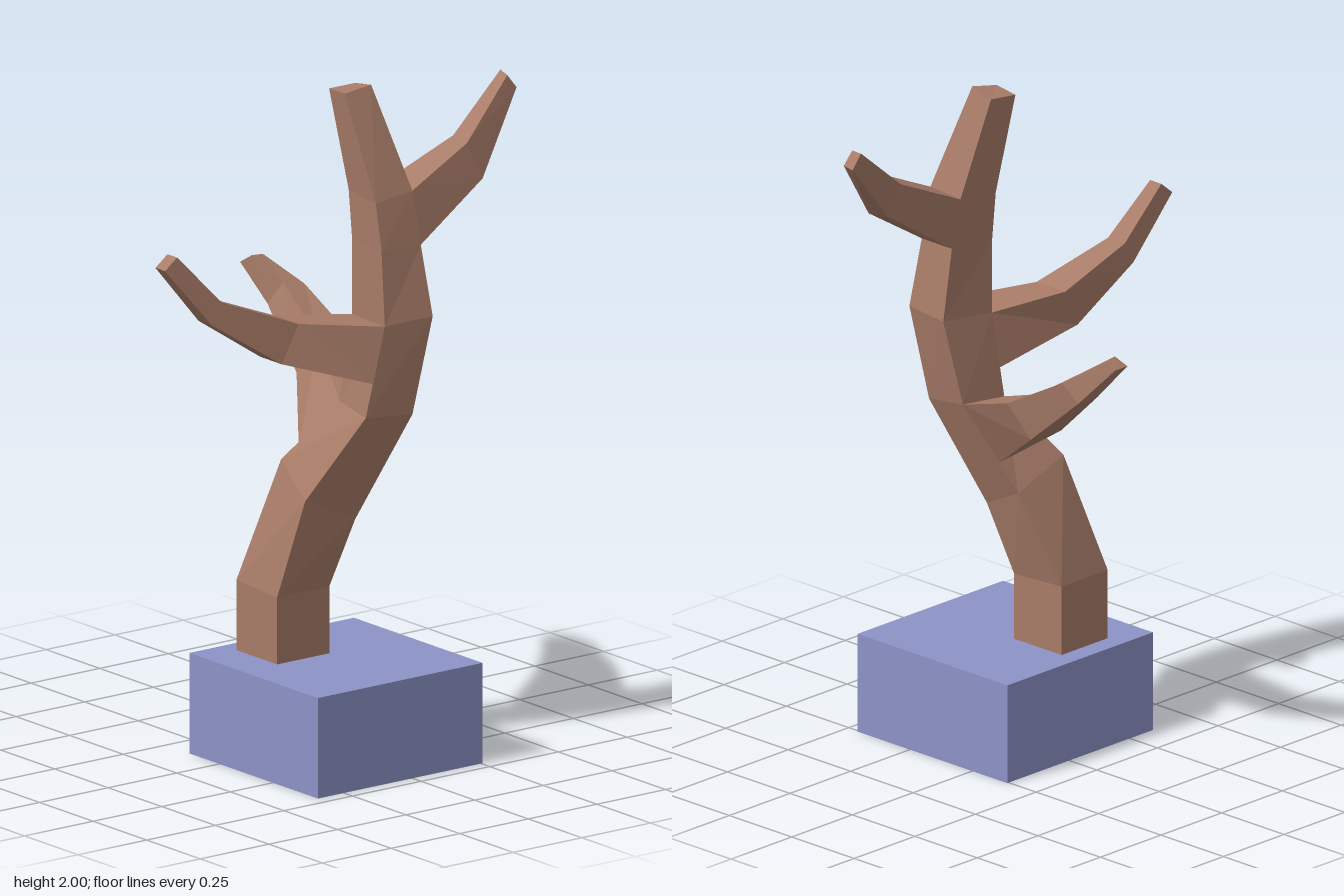
import * as THREE from 'three';

const bark = new THREE.MeshStandardMaterial({ color: 0xa87c68, flatShading: true });
const stone = new THREE.MeshStandardMaterial({ color: 0x8c93c6, flatShading: true });

// Skins four-cornered sections (counter-clockwise seen from the tip) and caps both ends.
function limb(name, rings) {
  const pos = [];
  const quad = (a, b, c, d) => pos.push(...a, ...b, ...c, ...a, ...c, ...d);
  for (let r = 0; r < rings.length - 1; r++) {
    const p = rings[r], q = rings[r + 1];
    for (let i = 0; i < 4; i++) {
      const j = (i + 1) % 4;
      quad(p[i], p[j], q[j], q[i]);
    }
  }
  quad(...[...rings[0]].reverse());
  quad(...rings[rings.length - 1]);
  const geo = new THREE.BufferGeometry();
  geo.setAttribute('position', new THREE.Float32BufferAttribute(pos, 3));
  geo.computeVertexNormals();
  const mesh = new THREE.Mesh(geo, bark);
  mesh.name = name;
  return mesh;
}

export function createModel() {
  const group = new THREE.Group();
  group.name = 'bareTree';

  // Square plinth
  const base = new THREE.Mesh(new THREE.BoxGeometry(0.6, 0.3, 0.6), stone);
  base.position.set(-0.045, 0.15, 0.16);
  base.name = 'base';
  group.add(base);

  // Leaning trunk: front left, front right, back right, back left
  group.add(limb('trunk', [
    [[-0.22, 0.3, 0.11], [-0.03, 0.3, 0.11], [-0.03, 0.3, -0.08], [-0.22, 0.3, -0.08]],
    [[-0.22, 0.5, 0.11], [-0.03, 0.5, 0.11], [-0.03, 0.51, -0.08], [-0.22, 0.51, -0.08]],
    [[-0.165, 0.79, 0.17], [0.01, 0.71, 0.18], [0.045, 0.79, 0.02], [-0.12, 0.87, 0]],
    [[-0.03, 1.04, 0.28], [0.125, 1.03, 0.3], [0.15, 1.06, 0.14], [0, 1.05, 0.12]],
    [[0.02, 1.31, 0.305], [0.175, 1.32, 0.33], [0.2, 1.32, 0.17], [0.03, 1.31, 0.14]],
    [[0.02, 1.53, 0.29], [0.155, 1.53, 0.3], [0.175, 1.54, 0.16], [0.03, 1.53, 0.14]],
    [[0.015, 1.67, 0.27], [0.14, 1.69, 0.28], [0.155, 1.69, 0.145], [0.025, 1.68, 0.13]],
    [[-0.025, 1.985, 0.175], [0.06, 2, 0.19], [0.07, 1.985, 0.105], [-0.015, 1.98, 0.09]],
  ]));

  // Branches: two lower corners, then two upper corners
  group.add(limb('rightBranch', [
    [[0.01, 1.14, 0.127], [-0.01, 1.14, 0.29], [0.02, 1.31, 0.305], [0.03, 1.31, 0.14]],
    [[-0.25, 1.215, 0.07], [-0.25, 1.215, 0.17], [-0.2, 1.33, 0.185], [-0.2, 1.33, 0.07]],
    [[-0.46, 1.355, 0.05], [-0.46, 1.355, 0.112], [-0.43, 1.42, 0.122], [-0.43, 1.42, 0.055]],
    [[-0.605, 1.535, 0.035], [-0.605, 1.535, 0.08], [-0.565, 1.57, 0.085], [-0.565, 1.57, 0.04]],
  ]));
  group.add(limb('leftBranch', [
    [[0.155, 1.53, 0.3], [0.175, 1.54, 0.16], [0.155, 1.69, 0.145], [0.14, 1.69, 0.28]],
    [[0.4, 1.68, 0.275], [0.42, 1.7, 0.18], [0.375, 1.79, 0.17], [0.355, 1.79, 0.26]],
    [[0.59, 1.9, 0.19], [0.6, 1.9, 0.145], [0.57, 1.945, 0.14], [0.56, 1.94, 0.185]],
  ]));
  group.add(limb('backBranch', [
    [[0.08, 0.885, 0.06], [-0.084, 0.92, 0.036], [0, 1.05, 0.12], [0.15, 1.06, 0.14]],
    [[0.2, 1.05, -0.18], [0.085, 1.05, -0.19], [0.12, 1.155, -0.13], [0.225, 1.15, -0.11]],
    [[0.2, 1.21, -0.37], [0.12, 1.21, -0.37], [0.145, 1.28, -0.33], [0.215, 1.265, -0.32]],
    [[0.14, 1.32, -0.46], [0.09, 1.32, -0.46], [0.105, 1.345, -0.425], [0.15, 1.34, -0.43]],
  ]));
  return group;
}
